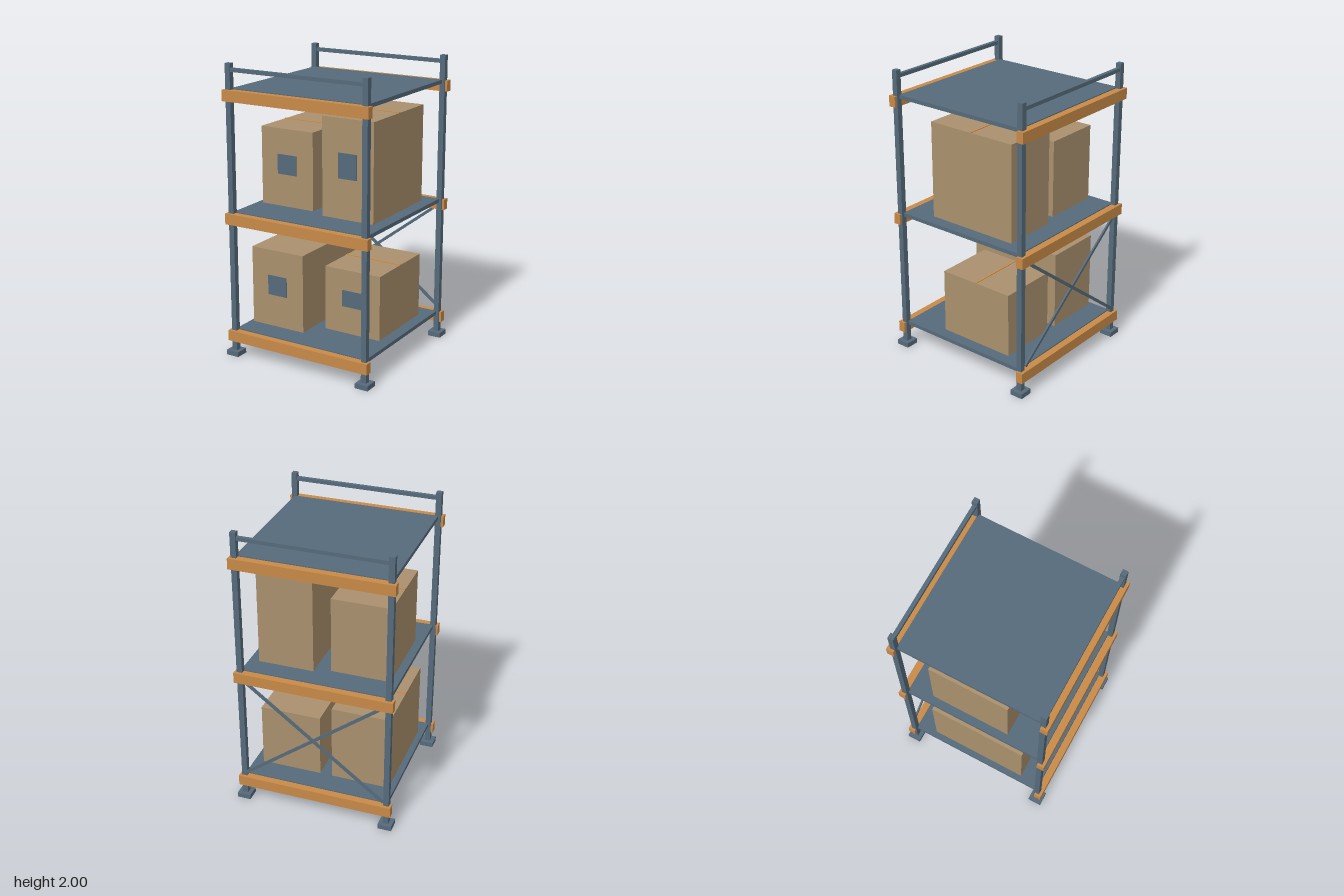
import * as THREE from 'three';

const material = (name, color) => {
  const m = new THREE.MeshStandardMaterial({ color });
  m.name = name;
  return m;
};

export function createModel() {
  const steel = material('blue grey steel', 0x566a7a);
  const orange = material('orange beam', 0xc88a48);
  const card = material('cardboard', 0xaa906d);

  const rack = new THREE.Group();
  rack.name = 'storageRack';

  const box = (name, mat, w, h, d, x, y, z, parent = rack) => {
    const mesh = new THREE.Mesh(new THREE.BoxGeometry(w, h, d), mat);
    mesh.name = name;
    mesh.position.set(x, y, z);
    parent.add(mesh);
    return mesh;
  };

  const P = 0.508; // post centre distance in x and z
  const levels = [0.178, 1.005, 1.83]; // top of the beams

  // Posts with foot plates
  for (const sx of [-1, 1]) {
    for (const sz of [-1, 1]) {
      box('post', steel, 0.038, 1.98, 0.038, sx * P, 1.01, sz * P);
      box('footPlate', steel, 0.094, 0.034, 0.094, sx * P, 0.017, sz * P);
    }
  }

  // Shelves with front and back beams
  for (const top of levels) {
    box('shelf', steel, 2 * P, 0.026, 0.99, 0, top - 0.008, 0);
    for (const sz of [-1, 1]) {
      box('beam', orange, 1.086, 0.074, 0.05, 0, top - 0.037, sz * 0.522);
    }
  }

  // Top tie bars
  for (const sz of [-1, 1]) {
    box('tieBar', steel, 2 * P, 0.025, 0.026, 0, 1.958, sz * P);
  }

  // Crossed braces on the back
  const rise = 0.75, run = 0.98;
  for (const s of [-1, 1]) {
    const brace = box('brace', steel, Math.hypot(run, rise), 0.02, 0.012, 0, 0.586, -0.534);
    brace.rotation.z = s * Math.atan2(rise, run);
  }

  // Cartons: x range, y range, z range
  const cartons = [
    [-0.47, -0.064, 0.192, 0.735, -0.35, 0.35],
    [0.02, 0.44, 0.192, 0.64, -0.35, 0.203],
    [-0.456, -0.053, 1.017, 1.547, -0.327, 0.235],
    [0.053, 0.434, 1.017, 1.681, -0.37, 0.288],
  ];
  for (const [x0, x1, y0, y1, z0, z1] of cartons) {
    const w = x1 - x0, h = y1 - y0, d = z1 - z0;
    const x = (x0 + x1) / 2, y = (y0 + y1) / 2, z = (z0 + z1) / 2;
    const carton = new THREE.Group();
    carton.name = 'carton';
    rack.add(carton);
    box('cartonBody', card, w, h, d, x, y, z, carton);
    box('lidTape', orange, w, 0.005, 0.014, x, y1 + 0.0015, z, carton);
    box('frontLabel', steel, w * 0.365, h * 0.255, 0.006, x, y + 0.023, z1 + 0.002, carton);
  }

  return rack;
}
